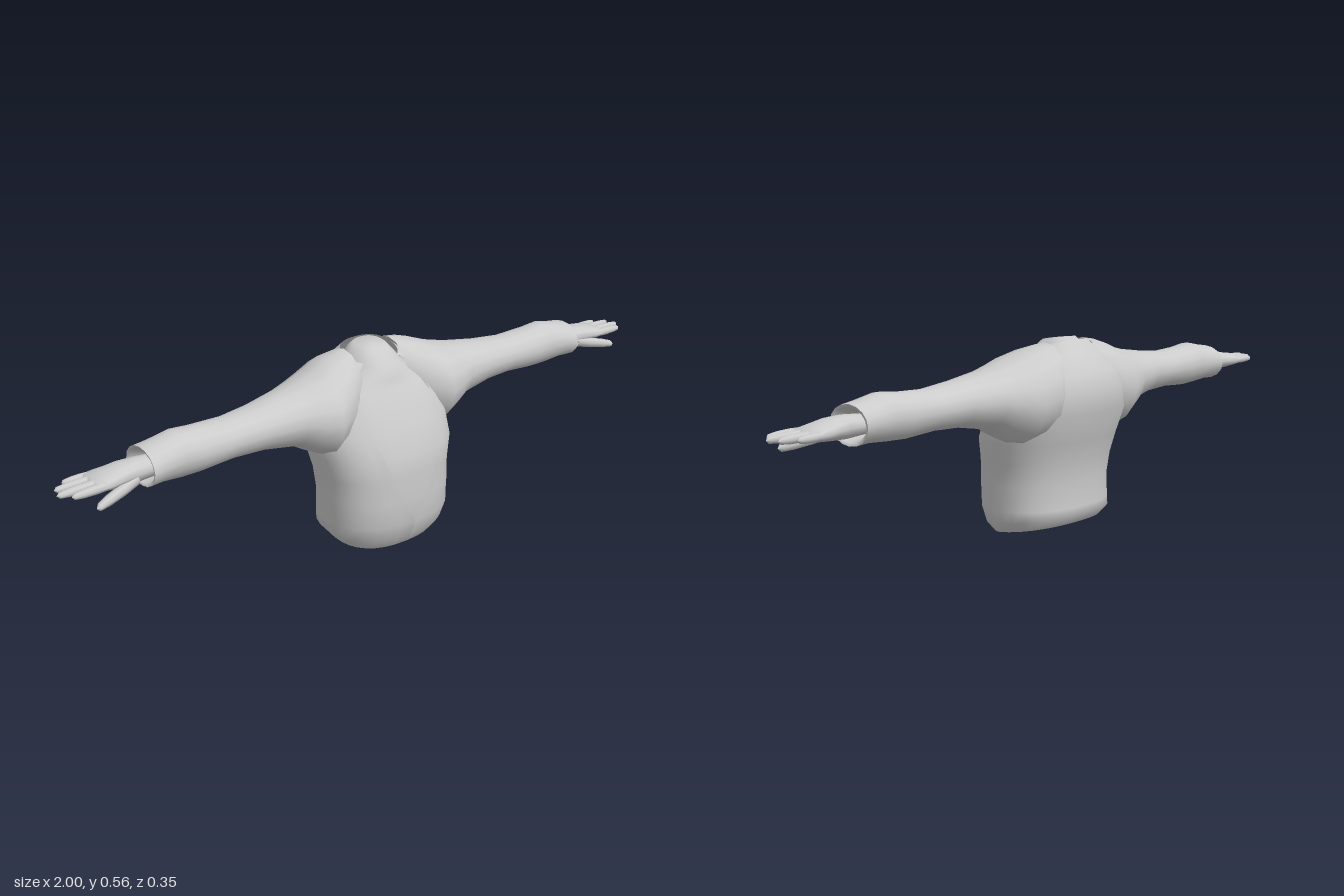
import * as THREE from 'three';

const material = new THREE.MeshStandardMaterial({ color: 0xcccccc, side: THREE.DoubleSide });

// Skin a list of cross-sections; every section has the same number of points.
function loft(name, rings, { closed = true, flip = false } = {}) {
  const n = rings[0].length;
  const index = [];
  for (let j = 0; j < rings.length - 1; j++) {
    for (let i = 0; i < (closed ? n : n - 1); i++) {
      const k = (i + 1) % n;
      const a = j * n + i, b = j * n + k, c = a + n, d = b + n;
      if (flip) index.push(a, d, b, a, c, d);
      else index.push(a, b, d, a, d, c);
    }
  }
  const geometry = new THREE.BufferGeometry();
  geometry.setAttribute('position', new THREE.Float32BufferAttribute(rings.flat(2), 3));
  geometry.setIndex(index);
  geometry.computeVertexNormals();
  const mesh = new THREE.Mesh(geometry, material);
  mesh.name = name;
  return mesh;
}

// Rounded-box outline of the body, tilted from front height to back height.
// "open" is the half width of the gap left at the front.
const POWER = 2.4;
function bodyRing([yFront, yBack, w, zFront, zBack, open = 0], sides, gap) {
  const start = gap && open ? Math.asin((open / w) ** (POWER / 2)) : 0;
  const last = gap ? sides : sides - 1;
  const round = (v) => Math.sign(v) * Math.abs(v) ** (2 / POWER);
  const ring = [];
  for (let i = 0; i <= last; i++) {
    const a = start + (i / sides) * (2 * Math.PI - 2 * start);
    const t = (1 + round(Math.cos(a))) / 2;
    ring.push([w * round(Math.sin(a)), yBack + (yFront - yBack) * t, zBack + (zFront - zBack) * t]);
  }
  return ring;
}

// Oval outline of a limb at one x, running from the top towards the front.
function limbRing(s, [x, yLow, yHigh, zBack, zFront], sides) {
  return Array.from({ length: sides }, (_, i) => {
    const a = (i / sides) * Math.PI * 2;
    return [
      s * x,
      (yLow + yHigh) / 2 + Math.cos(a) * (yHigh - yLow) / 2,
      (zBack + zFront) / 2 + Math.sin(a) * (zFront - zBack) / 2,
    ];
  });
}

function limb(name, s, rows, sides) {
  return loft(name, rows.map((r) => limbRing(s, r, sides)), { flip: s < 0 });
}

// Tapered digit with a rounded tip
function digit(name, s, from, to, radius) {
  const steps = [[0, 0.9], [0.35, 1], [0.7, 0.9], [0.93, 0.65], [1, 0]];
  const rows = steps.map(([t, k]) => {
    const [x, y, z] = from.map((v, i) => v + (to[i] - v) * t);
    const r = radius * k;
    return [x, y - r, y + r, z - r, z + r];
  });
  return limb(name, s, rows, 8);
}

// front height, back height, half width, front z, back z, half opening
const BODY = [
  [0.00, 0.04, 0.165, 0.135, -0.100],
  [0.03, 0.068, 0.190, 0.157, -0.125],
  [0.08, 0.09, 0.195, 0.175, -0.122, 0],
  [0.15, 0.16, 0.195, 0.177, -0.120, 0.045],
  [0.22, 0.22, 0.200, 0.175, -0.130, 0.078],
  [0.28, 0.28, 0.215, 0.172, -0.145, 0.098],
  [0.35, 0.36, 0.220, 0.143, -0.174, 0.117],
  [0.41, 0.42, 0.200, 0.118, -0.175, 0.125],
  [0.45, 0.47, 0.170, 0.092, -0.160, 0.120],
  [0.49, 0.515, 0.130, 0.065, -0.125, 0.100],
  [0.515, 0.555, 0.085, 0.035, -0.090, 0.060],
];

const NECK = [
  [0.475, 0.50, 0.100, 0.075, -0.100],
  [0.505, 0.545, 0.068, 0.067, -0.085],
  [0.550, 0.560, 0.045, 0.018, -0.068],
  [0.556, 0.556, 0.000, -0.020, -0.020],
];

// x, low y, high y, back z, front z
const SLEEVE = [
  [0.08, 0.33, 0.550, -0.130, 0.050],
  [0.14, 0.29, 0.540, -0.160, 0.090],
  [0.20, 0.28, 0.520, -0.150, 0.115],
  [0.25, 0.305, 0.505, -0.130, 0.100],
  [0.30, 0.335, 0.493, -0.108, 0.083],
  [0.40, 0.353, 0.478, -0.083, 0.068],
  [0.50, 0.357, 0.468, -0.072, 0.060],
  [0.60, 0.350, 0.472, -0.068, 0.060],
  [0.66, 0.352, 0.478, -0.066, 0.064],
  [0.72, 0.357, 0.466, -0.067, 0.066],
  [0.76, 0.355, 0.460, -0.070, 0.068],
];

const CUFF_LINING = [
  [0.76, 0.355, 0.460, -0.070, 0.068],
  [0.757, 0.363, 0.452, -0.061, 0.059],
  [0.70, 0.378, 0.432, -0.030, 0.035],
];

const PALM = [
  [0.70, 0.380, 0.430, -0.030, 0.035],
  [0.78, 0.375, 0.437, -0.035, 0.040],
  [0.82, 0.378, 0.435, -0.045, 0.047],
  [0.87, 0.383, 0.425, -0.055, 0.053],
  [0.90, 0.388, 0.418, -0.056, 0.053],
  [0.91, 0.403, 0.403, -0.045, 0.042],
];

// knuckle z, tip z, tip x, radius
const FINGERS = [
  [0.040, 0.042, 0.975, 0.0125],
  [0.014, 0.013, 1.000, 0.013],
  [-0.016, -0.019, 0.990, 0.0125],
  [-0.042, -0.046, 0.955, 0.0115],
];

function createArm(s) {
  const arm = new THREE.Group();
  arm.name = s > 0 ? 'leftArm' : 'rightArm';
  arm.add(limb('sleeve', s, SLEEVE, 16));
  arm.add(limb('cuffLining', s, CUFF_LINING, 16));

  const hand = new THREE.Group();
  hand.name = 'hand';
  hand.add(limb('palm', s, PALM, 12));
  FINGERS.forEach(([z0, z1, x, r], i) => {
    hand.add(digit(`finger${i + 1}`, s, [0.875, 0.404, z0], [x, 0.403, z1], r));
  });
  hand.add(digit('thumb', s, [0.79, 0.392, 0.03], [0.925, 0.366, 0.066], 0.016));
  arm.add(hand);
  return arm;
}

export function createModel() {
  const model = new THREE.Group();
  model.name = 'jacketedTorso';

  // Jacket with a V opening at the front
  model.add(loft('jacket', BODY.map((r) => bodyRing(r, 32, true)), { closed: false }));

  // Shirt just inside the jacket, rising into the neck
  const inset = 0.006;
  const shirt = BODY.slice(1, 9).map(([yf, yb, w, zf, zb]) => [yf, yb, w - inset, zf - inset, zb + inset]);
  model.add(loft('shirtAndNeck', [...shirt, ...NECK].map((r) => bodyRing(r, 28, false))));

  for (const s of [1, -1]) model.add(createArm(s));
  return model;
}
